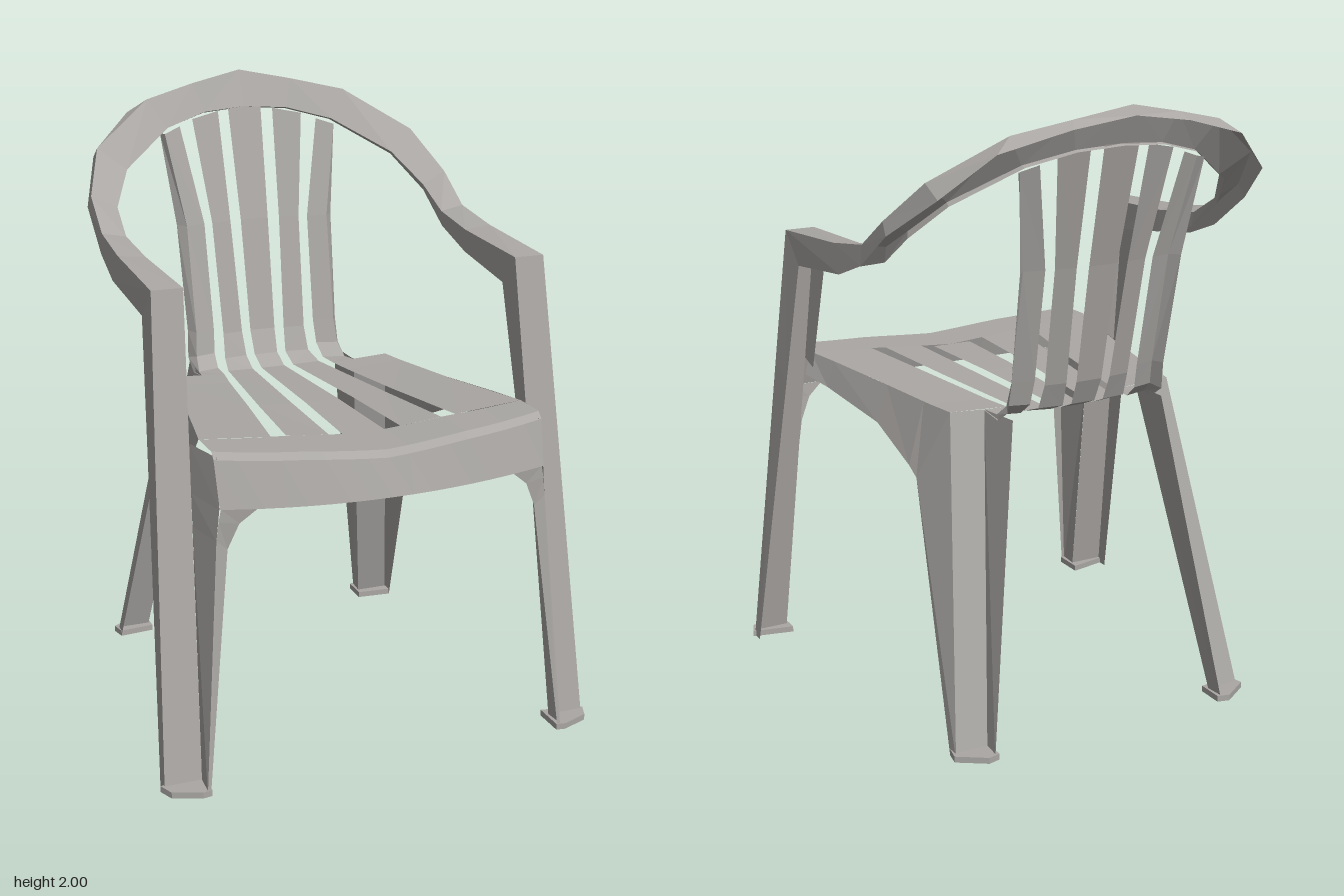
import * as THREE from 'three';

const plastic = new THREE.MeshStandardMaterial({ color: 0xaaa7a4, side: THREE.DoubleSide });
plastic.name = 'greyPlastic';

// Flat-shaded skin stretched between neighbouring rails (polylines of equal length)
function skin(name, rails, side = 1) {
  const pos = [];
  const put = (p) => pos.push(p[0] * side, p[1], p[2]);
  for (let r = 0; r < rails.length - 1; r++) {
    for (let i = 0; i < rails[r].length - 1; i++) {
      const a = rails[r][i], b = rails[r][i + 1], c = rails[r + 1][i + 1], d = rails[r + 1][i];
      [a, b, c, a, c, d].forEach(put);
    }
  }
  const g = new THREE.BufferGeometry();
  g.setAttribute('position', new THREE.Float32BufferAttribute(pos, 3));
  g.computeVertexNormals();
  const mesh = new THREE.Mesh(g, plastic);
  mesh.name = name;
  return mesh;
}

// Thin foot pad from an x/z outline
function pad(name, outline, side) {
  const shape = new THREE.Shape(outline.map(([x, z]) => new THREE.Vector2(x * side, -z)));
  const g = new THREE.ExtrudeGeometry(shape, { depth: 0.02, bevelEnabled: false });
  g.rotateX(-Math.PI / 2);
  const mesh = new THREE.Mesh(g, plastic);
  mesh.name = name;
  return mesh;
}

// Dished seat surface
const seatY = (x, z) => 1.02 + 0.1 * x * x + 0.015 * Math.min(1, Math.max(-0.3, z / 0.4)) * Math.min(1, Math.abs(x) * 4);
const onSeat = (x, z) => [x, seatY(x, z), z];

// Slat: seat run, bend at the back, then upright; edges given as [x, y, z]
function slat(name, inner, outer, side) {
  return skin(name, [inner, outer], side);
}

function createSeat() {
  const seat = new THREE.Group();
  seat.name = 'seat';

  // Solid front of the seat with its curved apron
  const rows = [[], [], [], []];
  for (let i = -8; i <= 8; i++) {
    const x = (i / 8) * 0.54, t = (x / 0.54) ** 2;
    const zf = 0.65 - 0.05 * t;
    rows[0].push(onSeat(x, 0.46));
    rows[1].push([x, seatY(x, 0.6), zf - 0.02]);
    rows[2].push([x, seatY(x, 0.6) - 0.02, zf]);
    rows[3].push([x * 0.99, 0.885 + 0.015 * t, zf + 0.035]);
  }
  seat.add(skin('seatFront', rows));

  // Centre slat, seat to backrest
  const centre = [
    [0.07, 1.02, 0.46], [0.058, 1.02, 0.1], [0.042, 1.01, -0.36], [0.042, 1.04, -0.43],
    [0.045, 1.12, -0.465], [0.05, 1.5, -0.54], [0.06, 1.88, -0.635],
  ];
  seat.add(skin('centreSlat', [centre, centre.map(([x, y, z]) => [-x, y, z])]));

  for (const s of [1, -1]) {
    // Middle slat
    seat.add(slat('middleSlat',
      [onSeat(0.12, 0.46), onSeat(0.104, 0.1), [0.075, 1.01, -0.36], [0.073, 1.04, -0.43],
        [0.078, 1.12, -0.46], [0.09, 1.5, -0.535], [0.1, 1.87, -0.625]],
      [onSeat(0.26, 0.46), onSeat(0.22, 0.1), [0.168, 1.015, -0.35], [0.155, 1.04, -0.42],
        [0.15, 1.12, -0.45], [0.16, 1.5, -0.525], [0.2, 1.85, -0.605]], s));
    // Broad side of the seat
    seat.add(skin('seatSide', [
      [onSeat(0.31, 0.46), onSeat(0.255, 0.1), onSeat(0.215, -0.2), onSeat(0.2, -0.3)],
      [onSeat(0.54, 0.46), onSeat(0.465, 0.1), onSeat(0.417, -0.2), onSeat(0.4, -0.3)],
    ], s));
    // Outer slat with a rear flange
    seat.add(skin('outerSlat', [
      [onSeat(0.2, -0.3), [0.195, 1.02, -0.38], [0.19, 1.06, -0.43], [0.185, 1.14, -0.45],
        [0.19, 1.5, -0.52], [0.25, 1.83, -0.59]],
      [onSeat(0.28, -0.3), [0.27, 1.02, -0.36], [0.262, 1.06, -0.41], [0.255, 1.14, -0.43],
        [0.258, 1.5, -0.505], [0.31, 1.81, -0.57]],
      [onSeat(0.285, -0.31), [0.28, 1.01, -0.39], [0.28, 1.05, -0.45], [0.275, 1.14, -0.465],
        [0.285, 1.5, -0.535], [0.32, 1.81, -0.595]],
    ], s));
    // Side apron running back into the rear leg
    seat.add(skin('sideApron', [
      [onSeat(0.54, 0.46), onSeat(0.513, 0.33), onSeat(0.454, 0.04), onSeat(0.421, -0.16),
        onSeat(0.415, -0.2), onSeat(0.4, -0.3)],
      [[0.565, 0.99, 0.45], [0.535, 0.97, 0.33], [0.49, 0.92, 0.04], [0.475, 0.83, -0.16],
        [0.47, 0.8, -0.2], [0.47, 0.8, -0.2]],
    ], s));
  }
  return seat;
}

function createFrontLeg(s) {
  const leg = new THREE.Group();
  leg.name = 'frontLeg';
  // Face and outer side plate
  leg.add(skin('frontLegFace', [
    [[0.55, 1.51, 0.37], [0.565, 1.05, 0.446], [0.6, 0, 0.62]],
    [[0.65, 1.51, 0.37], [0.672, 1.05, 0.446], [0.72, 0, 0.62]],
    [[0.65, 1.41, 0.27], [0.67, 1.0, 0.36], [0.72, 0, 0.575]],
  ], s));
  // Inner lip above the seat
  leg.add(skin('frontLegLip', [
    [[0.55, 1.51, 0.37], [0.565, 1.05, 0.446]],
    [[0.552, 1.41, 0.285], [0.565, 1.03, 0.38]],
  ], s));
  // Flange joining the leg to the seat corner, and its front bracket
  const edge = [[0.53, 1.05, 0.6], [0.535, 0.9, 0.632], [0.545, 0.8, 0.63], [0.605, 0, 0.69]];
  leg.add(skin('frontLegFlange', [
    [[0.565, 1.05, 0.446], [0.57, 0.9, 0.471], [0.573, 0.8, 0.488], [0.6, 0, 0.62]], edge,
  ], s));
  leg.add(skin('frontLegBracket', [
    [[0.53, 0.9, 0.632], [0.538, 0.86, 0.631], [0.545, 0.8, 0.63], [0.605, 0, 0.69]],
    [[0.42, 0.895, 0.65], [0.475, 0.85, 0.637], [0.51, 0.77, 0.628], [0.595, 0, 0.69]],
  ], s));
  leg.add(pad('frontFoot', [[0.59, 0.58], [0.73, 0.61], [0.71, 0.66], [0.62, 0.695], [0.59, 0.69]], s));
  return leg;
}

function createBackLeg(s) {
  const leg = new THREE.Group();
  leg.name = 'backLeg';
  // Folded section: side plate, rear face, inner plate
  leg.add(skin('backLegPlates', [
    [[0.47, 0.8, -0.2], [0.53, 0, -0.53]],
    [onSeat(0.4, -0.3), [0.53, 0, -0.57]],
    [onSeat(0.28, -0.3), [0.42, 0, -0.57]],
    [[0.27, 1.03, -0.465], [0.425, 0, -0.63]],
  ], s));
  leg.add(pad('backFoot', [[0.41, -0.54], [0.53, -0.53], [0.54, -0.58], [0.45, -0.64], [0.41, -0.63]], s));
  return leg;
}

// Armrests sweeping up into the arched top rail: inner lip, inner edge, outer edge, skirt
function createArch(s) {
  const lip = [[0.552, 1.41, 0.285], [0.555, 1.45, 0], [0.56, 1.5, -0.19], [0.555, 1.6, -0.34],
    [0.485, 1.71, -0.47], [0.3, 1.825, -0.59], [0.15, 1.865, -0.635], [0, 1.875, -0.65]];
  const inner = [[0.55, 1.51, 0.37], [0.555, 1.525, 0], [0.56, 1.55, -0.2], [0.55, 1.62, -0.33],
    [0.48, 1.72, -0.45], [0.3, 1.83, -0.57], [0.15, 1.87, -0.62], [0, 1.88, -0.635]];
  const outer = [[0.65, 1.51, 0.37], [0.645, 1.535, 0], [0.64, 1.565, -0.2], [0.635, 1.66, -0.34],
    [0.57, 1.79, -0.49], [0.36, 1.925, -0.61], [0.18, 1.965, -0.66], [0, 2, -0.69]];
  const skirt = [[0.65, 1.41, 0.27], [0.65, 1.445, -0.05], [0.645, 1.5, -0.2], [0.64, 1.62, -0.37],
    [0.565, 1.75, -0.56], [0.42, 1.88, -0.645], [0.2, 1.94, -0.69], [0, 1.97, -0.71]];
  return skin('armAndTopRail', [lip, inner, outer, skirt], s);
}

export function createModel() {
  const chair = new THREE.Group();
  chair.name = 'gardenChair';
  chair.add(createSeat());
  for (const s of [1, -1]) chair.add(createFrontLeg(s), createBackLeg(s), createArch(s));
  return chair;
}
